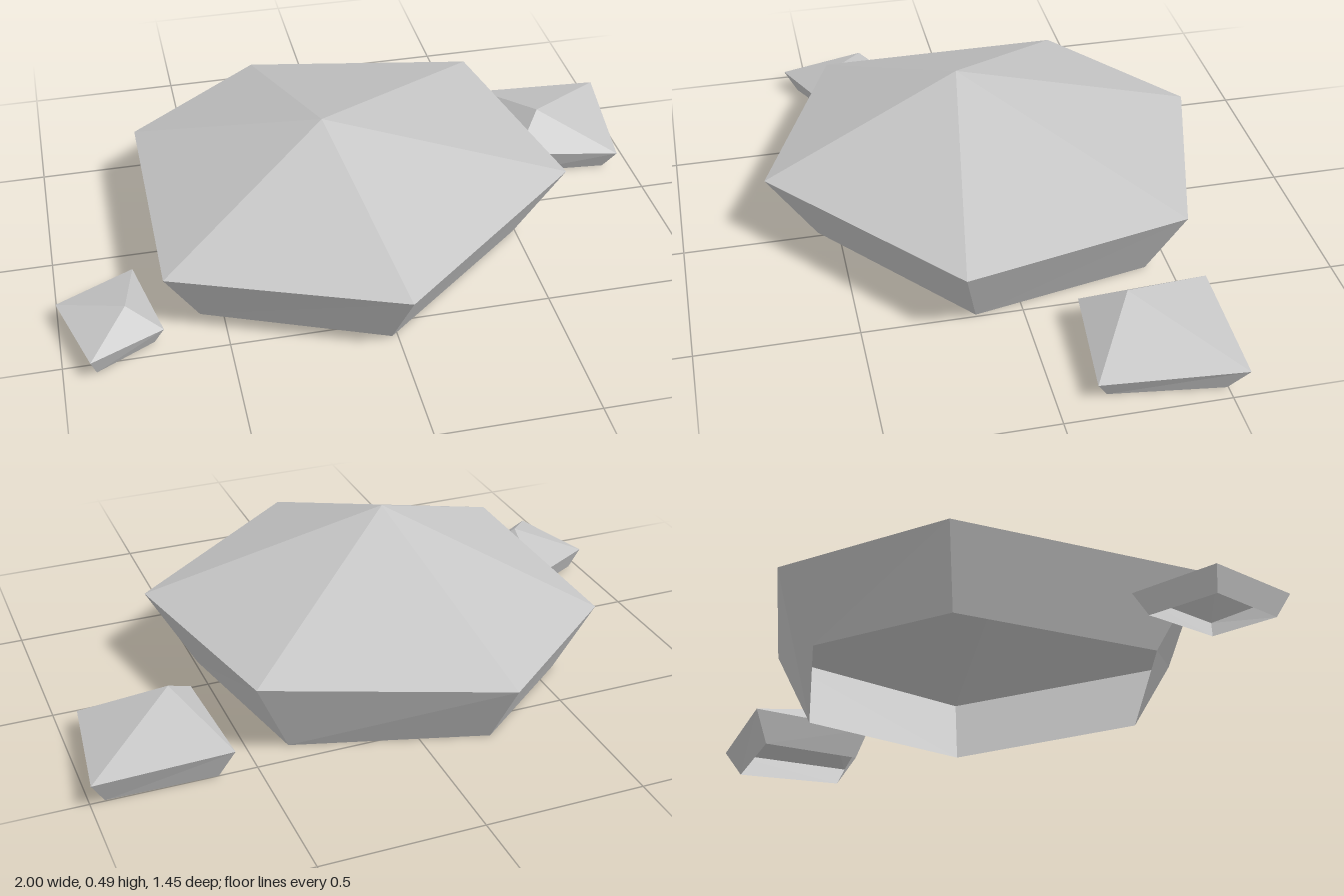
import * as THREE from 'three';

// Hollow faceted boulder: a peak over an uneven rim that tapers to a narrower, open base.
function makeRock(name, material, peak, rim, taper, offsetX, offsetZ) {
  const base = rim.map(([x, , z]) => [x * taper + offsetX, 0, z * taper + offsetZ]);
  const points = [];
  rim.forEach((a, i) => {
    const j = (i + 1) % rim.length;
    const b = rim[j];
    points.push(...peak, ...b, ...a); // sloping cap
    points.push(...a, ...b, ...base[j], ...a, ...base[j], ...base[i]); // undercut side
  });
  const geometry = new THREE.BufferGeometry();
  geometry.setAttribute('position', new THREE.Float32BufferAttribute(points, 3));
  geometry.computeVertexNormals();
  const mesh = new THREE.Mesh(geometry, material);
  mesh.name = name;
  return mesh;
}

export function createModel() {
  const group = new THREE.Group();
  group.name = 'rockCluster';
  const stone = new THREE.MeshStandardMaterial({ color: 0xc6c6c6, flatShading: true, side: THREE.DoubleSide });
  stone.name = 'pale stone grey';

  // Rims run clockwise as seen from above, starting at the back right corner
  group.add(makeRock('mainBoulder', stone, [-0.13, 0.488, 0.08], [
    [-0.683, 0.23, -0.365], [-0.23, 0.22, -0.725], [0.498, 0.266, -0.508],
    [0.639, 0.256, 0.2], [0.007, 0.247, 0.723], [-0.68, 0.23, 0.441],
  ], 0.805, -0.023, -0.015));

  group.add(makeRock('leftStone', stone, [0.695, 0.19, -0.265], [
    [0.58, 0.105, -0.55], [1.0, 0.09, -0.545], [0.944, 0.07, -0.113], [0.595, 0.097, -0.145],
  ], 0.8, 0.155, -0.06));

  group.add(makeRock('rightStone', stone, [-0.797, 0.135, 0.415], [
    [-1.0, 0.072, 0.288], [-0.755, 0.068, 0.16], [-0.691, 0.058, 0.455], [-0.917, 0.074, 0.578],
  ], 0.8, -0.168, 0.074));

  return group;
}
